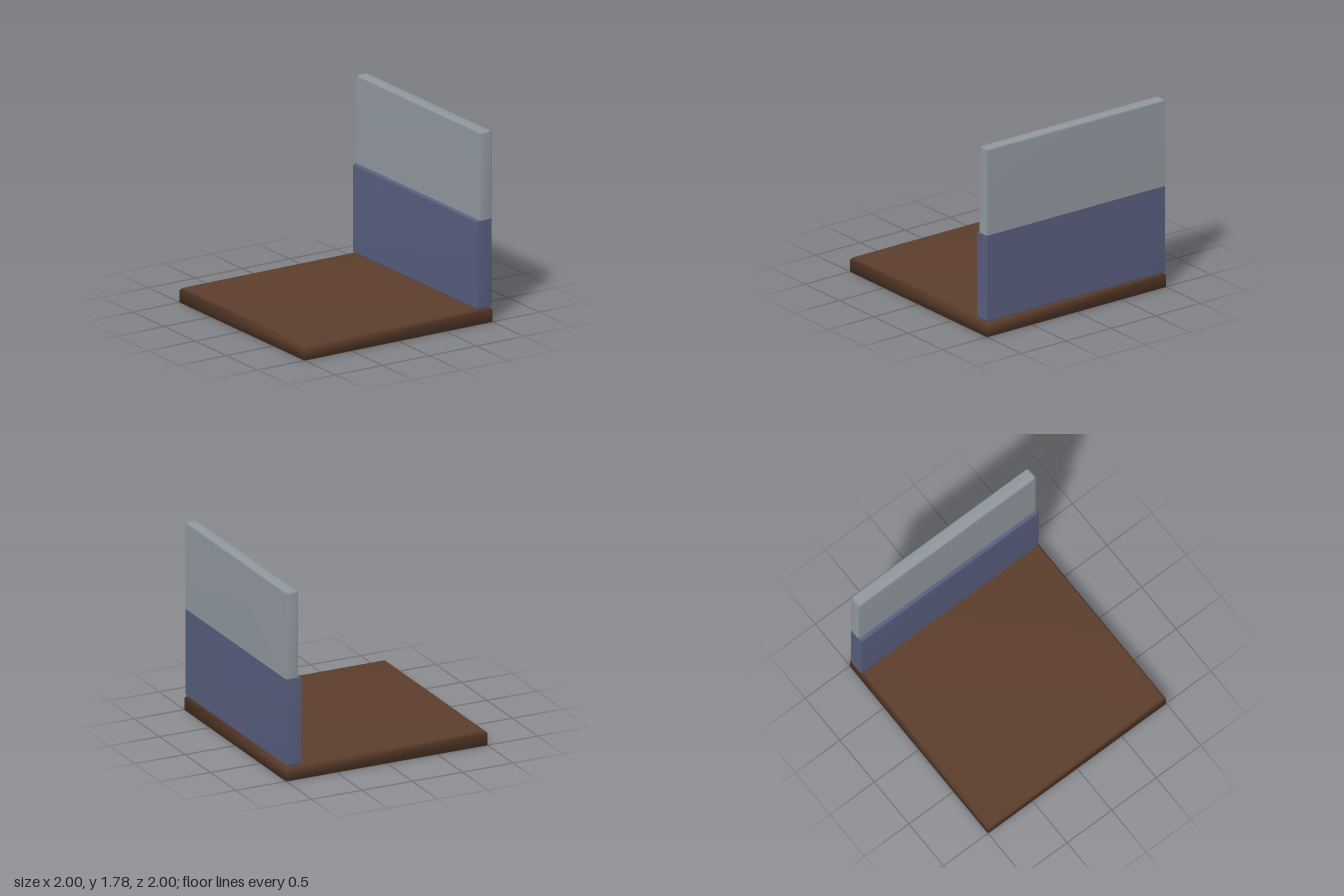
import * as THREE from 'three';

// Rectangle outline in plan with corners cut by c, counter-clockwise from above
function outline([y, x0, x1, z0, z1], c) {
  if (c === 0) return [[x0, y, z1], [x1, y, z1], [x1, y, z0], [x0, y, z0]];
  return [
    [x0 + c, y, z1], [x1 - c, y, z1], [x1, y, z1 - c], [x1, y, z0 + c],
    [x1 - c, y, z0], [x0 + c, y, z0], [x0, y, z0 + c], [x0, y, z1 - c],
  ];
}

// Slab skinned through rows of outlines, from bottom to top
function slab(name, color, rows, c, capBottom, capTop) {
  const loops = rows.map((r) => outline(r, c));
  const n = loops[0].length;
  const index = [];
  for (let r = 0; r < loops.length - 1; r++) {
    for (let i = 0; i < n; i++) {
      const a = r * n + i, b = r * n + (i + 1) % n;
      index.push(a, b, b + n, a, b + n, a + n);
    }
  }
  const last = (loops.length - 1) * n;
  for (let i = 1; i < n - 1; i++) {
    if (capBottom) index.push(0, i + 1, i);
    if (capTop) index.push(last, last + i, last + i + 1);
  }
  const geometry = new THREE.BufferGeometry();
  geometry.setAttribute('position', new THREE.Float32BufferAttribute(loops.flat(2), 3));
  geometry.setIndex(index);
  geometry.computeVertexNormals();
  const mesh = new THREE.Mesh(geometry, new THREE.MeshStandardMaterial({ color }));
  mesh.name = name;
  return mesh;
}

// Row for a slab, pulled in by inset on all four sides
const row = (y, x0, inset = 0) => [y, x0 + inset, 1 - inset, -1 + inset, 1 - inset];

export function createModel() {
  const group = new THREE.Group();
  group.name = 'floorAndWall';

  // Floor with a bevel around its top edge
  group.add(slab('floor', 0x5c3e2c, [
    row(0, -1), row(0.115, -1), row(0.138, -1, 0.022),
  ], 0, true, true));

  // Thicker lower wall, ending in a ledge on its inner side
  group.add(slab('lowerWall', 0x585e7e, [
    row(0.138, 0.835, 0.015), row(0.153, 0.835), row(0.948, 0.835),
    row(0.958, 0.848), row(0.965, 0.873),
  ], 0.015, true, false));

  // Thinner upper wall, flush with the lower wall outside
  group.add(slab('upperWall', 0x90989e, [
    row(0.965, 0.873), row(1.768, 0.873), row(1.783, 0.873, 0.015),
  ], 0.015, false, true));

  return group;
}
